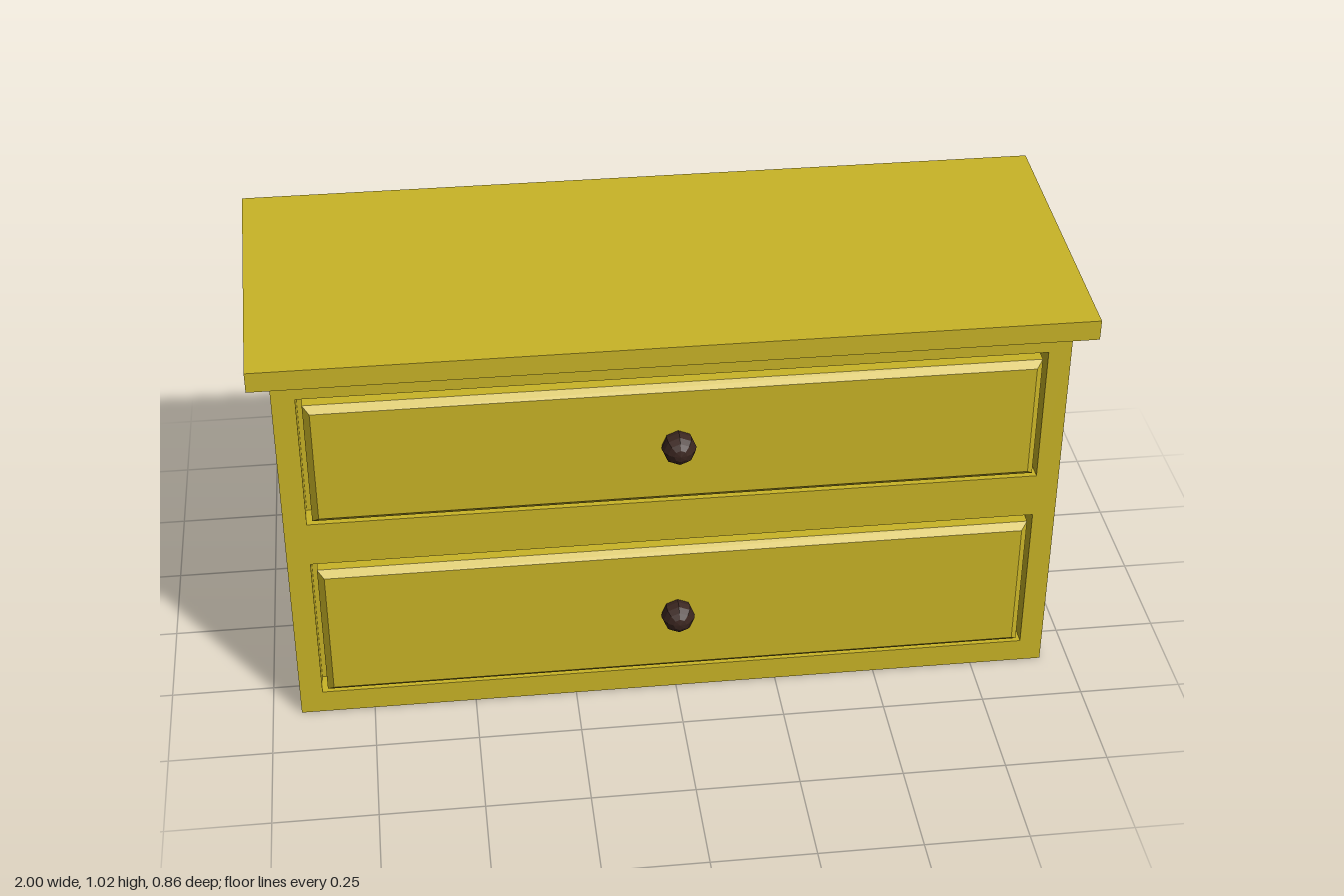
import * as THREE from 'three';

const wood = new THREE.MeshStandardMaterial({ color: 0xc9b427, flatShading: true, side: THREE.DoubleSide });
const dark = new THREE.MeshStandardMaterial({ color: 0x3b2620, flatShading: true });

// Builds a thin surface from four-cornered panels
function panels(name, quads) {
  const pos = [];
  for (const [a, b, c, d] of quads) pos.push(...a, ...b, ...c, ...a, ...c, ...d);
  const geo = new THREE.BufferGeometry();
  geo.setAttribute('position', new THREE.Float32BufferAttribute(pos, 3));
  geo.computeVertexNormals();
  const mesh = new THREE.Mesh(geo, wood);
  mesh.name = name;
  return mesh;
}

const rect = (w, y0, y1, z) => [[-w, y0, z], [w, y0, z], [w, y1, z], [-w, y1, z]];

// Joins two four-cornered loops with a band of panels
const band = (a, b) => a.map((p, i) => [p, a[(i + 1) % 4], b[(i + 1) % 4], b[i]]);

const W = 0.93, FRONT = 0.355, BACK = -0.43, H = 0.97, TOP = 1.02;
const drawers = [{ y0: 0.06, y1: 0.45, knobY: 0.247 }, { y0: 0.565, y1: 0.915, knobY: 0.74 }];

export function createModel() {
  const model = new THREE.Group();
  model.name = 'drawerChest';

  // Open-backed carcass: two sides and a floor
  model.add(panels('carcass', [
    [[W, 0, FRONT], [W, 0, BACK], [W, H, BACK], [W, H, FRONT]],
    [[-W, 0, BACK], [-W, 0, FRONT], [-W, H, FRONT], [-W, H, BACK]],
    [[-W, 0, BACK], [W, 0, BACK], [W, 0, FRONT], [-W, 0, FRONT]],
  ]));

  // Front frame with an opening for each drawer
  const outline = (w, y0, y1) => rect(w, y0, y1, 0).map(([x, y]) => new THREE.Vector2(x, y));
  const face = new THREE.Shape(outline(W, 0, H));
  for (const d of drawers) face.holes.push(new THREE.Path(outline(0.875, d.y0, d.y1).reverse()));
  const frame = new THREE.Mesh(new THREE.ShapeGeometry(face), wood);
  frame.position.z = FRONT;
  frame.name = 'frontFrame';
  model.add(frame);

  // Drawer fronts: deep groove, raised panel with bevel, faceted knob
  for (const { y0, y1, knobY } of drawers) {
    const loops = [[0, FRONT], [0, 0.295], [0.014, 0.295], [0.014, 0.361], [0.03, 0.377]]
      .map(([inset, z]) => rect(0.875 - inset, y0 + inset, y1 - inset, z));
    const quads = [loops[4]];
    for (let i = 0; i < 4; i++) quads.push(...band(loops[i], loops[i + 1]));
    const drawer = new THREE.Group();
    drawer.name = 'drawer';
    drawer.add(panels('drawerFront', quads));
    const knob = new THREE.Mesh(new THREE.SphereGeometry(0.041, 8, 8).rotateX(Math.PI / 2), dark);
    knob.position.set(0, knobY, 0.392);
    knob.name = 'knob';
    drawer.add(knob);
    model.add(drawer);
  }

  // Hollow top, slightly narrower at the front, with a rim under the overhang
  const rim = (y) => [[-1, y, BACK], [-0.98, y, 0.4], [0.98, y, 0.4], [1, y, BACK]];
  const inner = [[-W, H, BACK], [-W, H, FRONT], [W, H, FRONT], [W, H, BACK]];
  const upper = rim(TOP), lower = rim(H);
  model.add(panels('topBoard', [
    upper,
    ...band(lower, upper).slice(0, 3),
    ...band(inner, lower).slice(0, 3),
  ]));

  return model;
}
